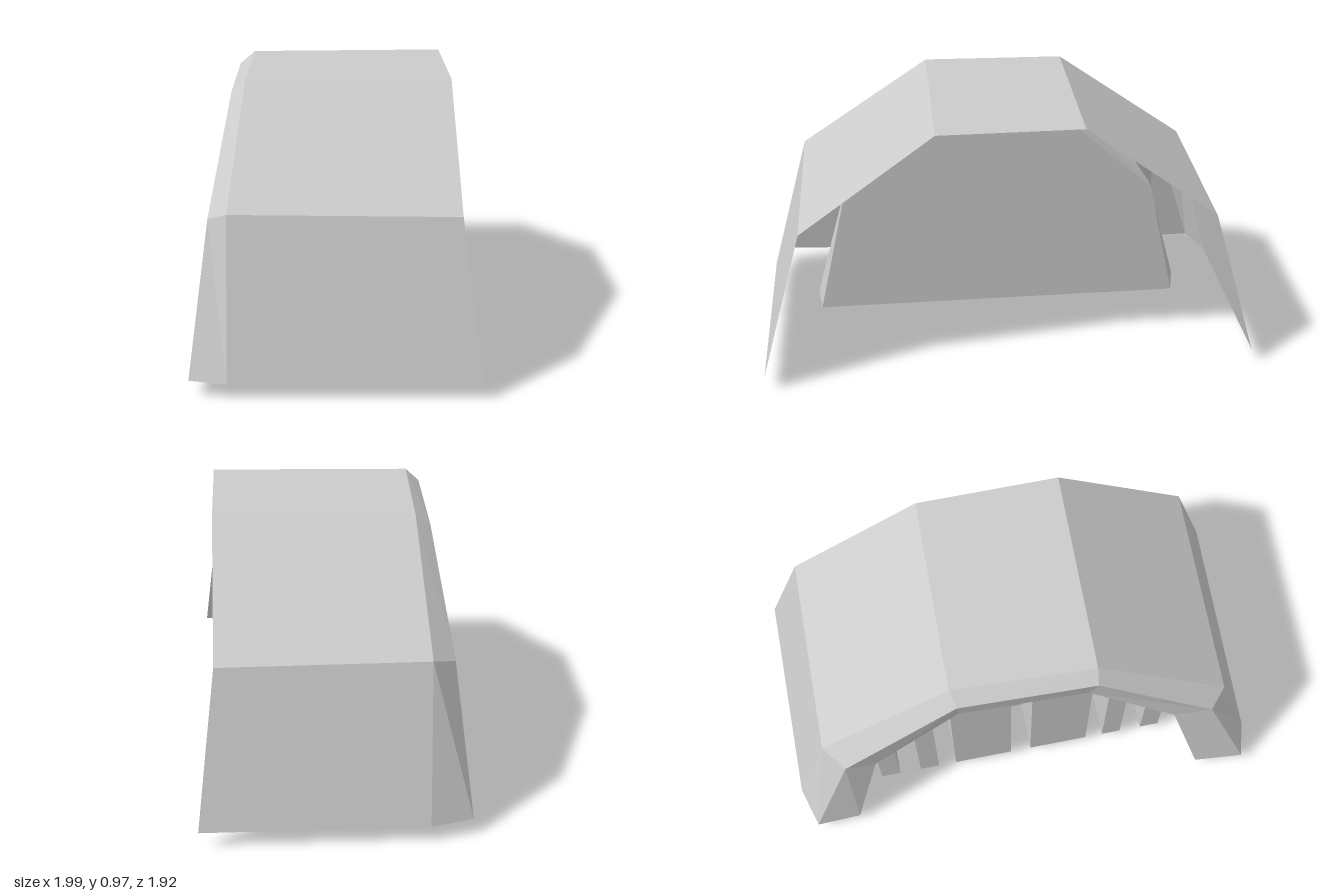
import * as THREE from 'three';

const material = new THREE.MeshStandardMaterial({
  color: 0xcccccc, flatShading: true, side: THREE.DoubleSide,
});

// Six-point arch: foot, shoulder and roof corner as [halfWidth, y, z], mirrored.
// centre shifts it sideways, skew pushes its +x side forward.
function arch(corners, centre = -0.03, skew = 0) {
  const left = corners.map(([x, y, z]) => [centre - x, y, z - skew * x]);
  const right = corners.map(([x, y, z]) => [centre + x, y, z + skew * x]);
  return [...left, ...right.reverse()];
}

function meshFrom(name, triangles) {
  const g = new THREE.BufferGeometry();
  g.setAttribute('position', new THREE.Float32BufferAttribute(triangles.flat(), 3));
  g.computeVertexNormals();
  const mesh = new THREE.Mesh(g, material);
  mesh.name = name;
  return mesh;
}

// Strip of quads between two arches
function strip(name, a, b) {
  const tris = [];
  for (let i = 0; i < a.length - 1; i++) {
    tris.push(a[i], a[i + 1], b[i + 1], a[i], b[i + 1], b[i]);
  }
  return meshFrom(name, tris);
}

// Flat wall filling an arch
function fill(name, ring) {
  const tris = [];
  for (let i = 1; i < ring.length - 1; i++) tris.push(ring[0], ring[i], ring[i + 1]);
  return meshFrom(name, tris);
}

export function createModel() {
  const model = new THREE.Group();
  const hangar = new THREE.Group();
  hangar.name = 'hangar';
  hangar.rotation.y = -0.697;
  model.add(hangar);

  const back = arch([[0.92, 0.055, -0.473], [0.766, 0.605, -0.408], [0.268, 0.972, -0.408]], -0.022);
  const shellFront = arch([[0.91, 0.055, 0.365], [0.76, 0.613, 0.368], [0.266, 0.967, 0.334]], -0.035, 0.04);
  const frameOuter = arch([[0.87, 0.055, 0.508], [0.695, 0.58, 0.445], [0.255, 0.922, 0.388]], -0.03, 0.03);
  const frameInner = arch([[0.69, 0.055, 0.497], [0.575, 0.5, 0.42], [0.24, 0.782, 0.365]], -0.04, 0.03);
  const wallFront = arch([[0.73, 0.055, 0.147], [0.615, 0.48, 0.147], [0.27, 0.788, 0.147]], -0.034);
  const wallBack = arch([[0.72, 0, 0.107], [0.615, 0.48, 0.107], [0.27, 0.788, 0.107]], -0.034);

  hangar.add(
    strip('shell', shellFront, back),
    strip('frameBevel', frameOuter, shellFront),
    strip('frameFace', frameInner, frameOuter),
    strip('entranceLining', wallFront, frameInner),
    strip('wallEdge', wallBack, wallFront),
    fill('wallBack', wallBack),
    fill('doorPanel', [...wallFront].reverse()),
  );

  // Vertical door ribs, cut off along the arch
  const top = (x) => (x < 0.25 ? 0.775 : 0.775 - (x - 0.25) * 0.83);
  const spans = [[0.04, 0.27], [0.34, 0.415], [0.5, 0.575]];
  for (const side of [-1, 1]) {
    for (const [x0, x1] of spans) {
      const outline = [[x0, 0.055], [x1, 0.055], [x1, top(x1)]];
      if (x0 < 0.25 && x1 > 0.25) outline.push([0.25, top(0.25)]);
      outline.push([x0, top(x0)]);
      const shape = new THREE.Shape(outline.map(([x, y]) => new THREE.Vector2(side * x, y)));
      const rib = new THREE.Mesh(
        new THREE.ExtrudeGeometry(shape, { depth: 0.188, bevelEnabled: false }), material);
      rib.position.set(-0.04, 0, 0.147);
      rib.name = 'doorRib';
      hangar.add(rib);
    }
  }
  return model;
}
